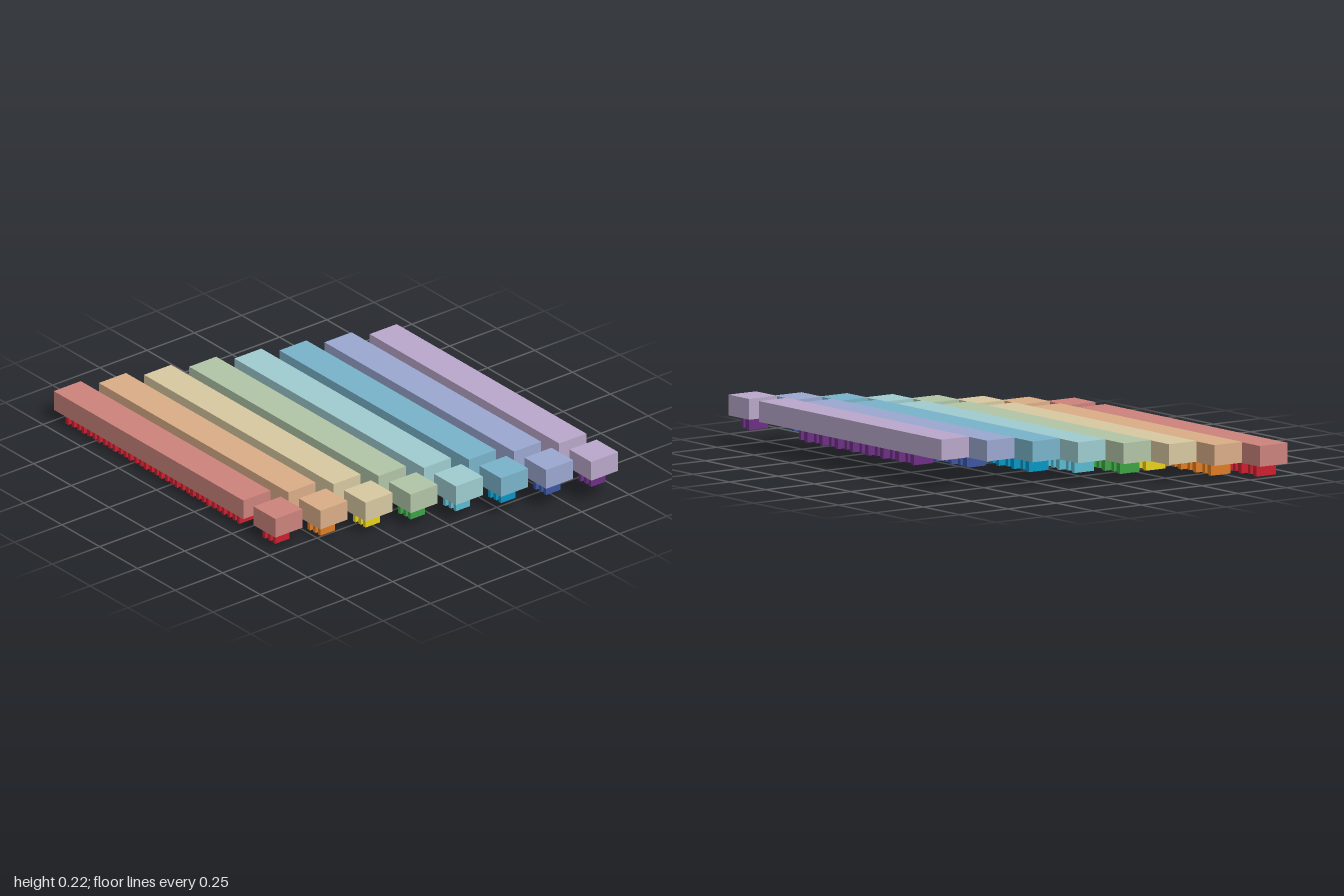
import * as THREE from 'three';

// One entry per row, front to back: block colour, rib colour, length of the ribbed strip
const ROWS = [
  { block: 0xcb837b, rib: 0xcc2030, strip: 1.15 },
  { block: 0xdaad87, rib: 0xe07c22, strip: 1.15 },
  { block: 0xd7c8a0, rib: 0xe8d01c, strip: 0.88 },
  { block: 0xb1c5a6, rib: 0x3ca444, strip: 1.15 },
  { block: 0x9ecbcf, rib: 0x5cbad0, strip: 1.15 },
  { block: 0x79b3c9, rib: 0x0896c6, strip: 1.15 },
  { block: 0x9aa7d0, rib: 0x3c56a2, strip: 0.92 },
  { block: 0xb9a7ca, rib: 0x6c3084, strip: 0.82 },
];

const DEPTH = 0.143;        // block depth, and width of the end block
const HEIGHT = 0.087;
const RIB_HEIGHT = 0.05;
const BAR_LENGTH = 1.254;
const END_OFFSET = 1.394;   // bar centre line start to end block centre

function box(name, size, position, material) {
  const mesh = new THREE.Mesh(new THREE.BoxGeometry(...size), material);
  mesh.name = name;
  mesh.position.set(...position);
  return mesh;
}

// Evenly spaced raised ribs under a block; every third one is full depth
function ribStrip(name, centreX, length, material) {
  const strip = new THREE.Group();
  strip.name = name;
  const width = 0.017;
  const count = Math.max(3, Math.round(length / 0.034));
  for (let i = 0; i < count; i++) {
    const x = centreX - length / 2 + width / 2 + (i * (length - width)) / (count - 1);
    const long = i % 3 === 0;
    const depth = long ? 0.1 : 0.076;
    strip.add(box('rib', [width, RIB_HEIGHT, depth], [x, RIB_HEIGHT / 2, long ? 0 : 0.008], material));
  }
  return strip;
}

export function createModel() {
  const model = new THREE.Group();
  model.name = 'steppedBars';

  ROWS.forEach(({ block, rib, strip }, i) => {
    const t = i / (ROWS.length - 1);
    const blockMaterial = new THREE.MeshStandardMaterial({ color: block });
    const ribMaterial = new THREE.MeshStandardMaterial({ color: rib });
    const y = RIB_HEIGHT + HEIGHT / 2;
    const barX = BAR_LENGTH / 2;

    const row = new THREE.Group();
    row.name = 'row' + (i + 1);
    // Each row steps back, up and sideways
    row.position.set(-1 + 0.533 * t, 0.078 * t, 0.622 - 1.244 * t);
    row.add(
      box('longBar', [BAR_LENGTH, HEIGHT, DEPTH], [barX, y, 0], blockMaterial),
      box('endBlock', [DEPTH, HEIGHT, DEPTH], [END_OFFSET, y, 0], blockMaterial),
      ribStrip('barRibs', barX, strip, ribMaterial),
      ribStrip('endBlockRibs', END_OFFSET, 0.08, ribMaterial),
    );
    model.add(row);
  });

  return model;
}
